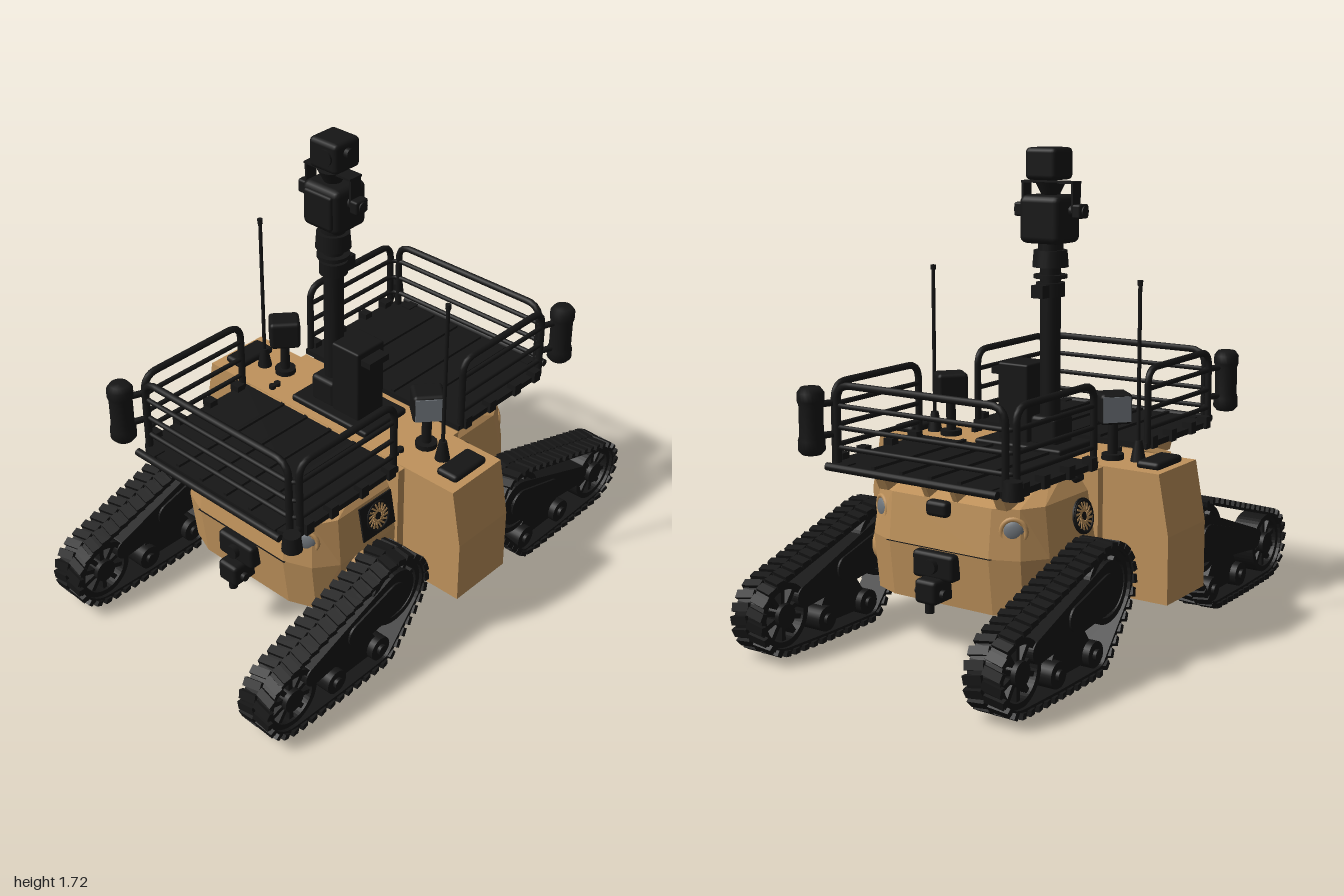
import * as THREE from 'three';
import { mergeGeometries } from 'three/addons/utils/BufferGeometryUtils.js';
import { ConvexGeometry } from 'three/addons/geometries/ConvexGeometry.js';
import { RoundedBoxGeometry } from 'three/addons/geometries/RoundedBoxGeometry.js';

const V = (x, y, z) => new THREE.Vector3(x, y, z);
const tan = new THREE.MeshStandardMaterial({ color: 0xc0935c });
const dark = new THREE.MeshStandardMaterial({ color: 0x161616 });
const grey = new THREE.MeshStandardMaterial({ color: 0x70767c });

function add(parent, name, geo, mat = dark) {
  const m = new THREE.Mesh(geo, mat);
  m.name = name;
  parent.add(m);
  return m;
}
function group(parent, name) {
  const g = new THREE.Group();
  g.name = name;
  parent.add(g);
  return g;
}
const outline = pts => new THREE.Shape(pts.map(p => new THREE.Vector2(...p)));
// Box given by its limits on each axis
const box = (x0, x1, y0, y1, z0, z1) =>
  new THREE.BoxGeometry(x1 - x0, y1 - y0, z1 - z0).translate((x0 + x1) / 2, (y0 + y1) / 2, (z0 + z1) / 2);
const softBox = (x0, x1, y0, y1, z0, z1, r = 0.015) =>
  new RoundedBoxGeometry(x1 - x0, y1 - y0, z1 - z0, 2, r).translate((x0 + x1) / 2, (y0 + y1) / 2, (z0 + z1) / 2);
// Cylinder between two points
function rod(a, b, r, r2 = r, seg = 14) {
  const d = b.clone().sub(a);
  return new THREE.CylinderGeometry(r2, r, d.length(), seg)
    .applyQuaternion(new THREE.Quaternion().setFromUnitVectors(V(0, 1, 0), d.clone().normalize()))
    .translate(...a.clone().add(b).multiplyScalar(0.5).toArray());
}
// Tube along straight runs with rounded corners
function bentTube(pts, bend, r) {
  const path = new THREE.CurvePath();
  let from = pts[0];
  for (let i = 1; i < pts.length - 1; i++) {
    const p = pts[i];
    const a = p.clone().add(pts[i - 1].clone().sub(p).setLength(bend));
    const b = p.clone().add(pts[i + 1].clone().sub(p).setLength(bend));
    path.add(new THREE.LineCurve3(from, a));
    path.add(new THREE.QuadraticBezierCurve3(a, p, b));
    from = b;
  }
  path.add(new THREE.LineCurve3(from, pts[pts.length - 1]));
  return new THREE.TubeGeometry(path, 60, r, 8);
}
// Closed outline wrapped round circles [z, y, r], listed counterclockwise
function wrap(circles, offset = 0, T = THREE.Shape) {
  const n = circles.length;
  const out = circles.map((c, i) => {
    const d = circles[(i + 1) % n];
    const dz = d[0] - c[0], dy = d[1] - c[1];
    return Math.atan2(dy, dz) - Math.acos((c[2] - d[2]) / Math.hypot(dz, dy));
  });
  const pts = [];
  circles.forEach(([z, y, r], i) => {
    const a0 = out[(i + n - 1) % n];
    let sweep = (out[i] - a0 + 4 * Math.PI) % (2 * Math.PI);
    if (sweep > 6.27) sweep = 0;
    const k = Math.max(1, Math.ceil(sweep / 0.2));
    for (let j = 0; j <= k; j++) {
      const a = a0 + sweep * j / k;
      pts.push(new THREE.Vector2(z + (r + offset) * Math.cos(a), y + (r + offset) * Math.sin(a)));
    }
  });
  pts.push(pts[0].clone());
  return new T(pts);
}
// Extrude a (z, y) outline across x
const across = (shape, w, x = 0) =>
  new THREE.ExtrudeGeometry(shape, { depth: w, bevelEnabled: false, curveSegments: 24 })
    .translate(0, 0, -w / 2).rotateY(-Math.PI / 2).translate(x, 0, 0);
const wheel = (z, y, r, w) => rod(V(-w / 2, y, z), V(w / 2, y, z), r, r, 28);

function buildTrack(parent, x, turn) {
  const g = group(parent, 'trackUnit');
  g.position.x = x;
  g.rotation.y = turn;
  const loop = [[0.345, 0.295, 0.143], [0.42, 0.08, 0.06], [0.645, 0.08, 0.06], [0.86, 0.153, 0.128]];
  const belt = wrap(loop);
  belt.holes.push(wrap(loop, -0.016, THREE.Path));
  add(g, 'trackBelt', across(belt, 0.125));
  // staggered tread lugs
  const n = 44, pts = wrap(loop, 0.003).getSpacedPoints(n), lugs = [];
  for (let i = 0; i < n; i++) {
    const a = pts[i], b = pts[i + 1];
    const ang = Math.atan2(b.y - a.y, b.x - a.x);
    for (const s of [-1, 1]) {
      const t = s > 0 ? 0.3 : 0.6;
      lugs.push(new THREE.BoxGeometry(0.072, 0.02, 0.03).rotateY(s * 0.2).rotateX(-ang)
        .translate(s * 0.036, a.y + (b.y - a.y) * t, a.x + (b.x - a.x) * t));
    }
  }
  add(g, 'treadLugs', mergeGeometries(lugs));
  // open spoked wheels
  for (const [z, y, r] of [[0.86, 0.153, 0.114], [0.345, 0.295, 0.128]]) {
    const rim = new THREE.Shape().absarc(z, y, r, 0, Math.PI * 2);
    rim.holes.push(new THREE.Path().absarc(z, y, r - 0.022, 0, Math.PI * 2));
    const parts = [];
    for (let i = 0; i < 10; i++)
      parts.push(new THREE.BoxGeometry(0.08, r - 0.01, 0.018).translate(0, r / 2, 0)
        .rotateX(i * Math.PI / 5).translate(0, y, z));
    add(g, 'wheelRim', across(rim, 0.1));
    add(g, 'wheelSpokes', mergeGeometries(parts));
    add(g, 'wheelHub', wheel(z, y, 0.042, 0.115));
  }
  for (const z of [0.42, 0.645]) {
    add(g, 'roadWheel', wheel(z, 0.08, 0.046, 0.1));
    add(g, 'roadWheelCap', wheel(z, 0.08, 0.02, 0.125));
  }
  add(g, 'trackArm', across(wrap([[0.345, 0.295, 0.09], [0.76, 0.195, 0.04]]), 0.11));
  add(g, 'armCover', across(wrap([[0.36, 0.29, 0.055], [0.55, 0.245, 0.045]]), 0.125));
  add(g, 'rollerBracket', across(wrap([[0.54, 0.19, 0.06], [0.42, 0.08, 0.025], [0.645, 0.08, 0.025]]), 0.05));
}

// Features of one end of the hull
function buildEnd(parent) {
  const g = group(parent, 'hullEnd');
  for (const s of [-1, 1]) {
    const cheek = outline([[0.2, 0.645], [0.3, 0.56], [0.55, 0.56], [0.595, 0.645]]);
    add(g, 'rackBracket', across(cheek, 0.04, s * 0.25), tan);
    add(g, 'rackStrut', across(cheek, 0.02, s * 0.06), tan);
    const lamp = group(g, 'headlight');
    lamp.position.set(s * 0.278, 0.485, 0.522);
    lamp.rotation.y = s * 0.5;
    add(lamp, 'lampBezel', new THREE.TorusGeometry(0.042, 0.009, 8, 24), tan);
    add(lamp, 'lampLens', new THREE.SphereGeometry(0.037, 20, 12).scale(1, 1, 0.4), grey);
    add(g, 'axleHousing', rod(V(s * 0.34, 0.3, 0.345), V(s * 0.42, 0.3, 0.345), 0.105, 0.07, 24), tan);
  }
  add(g, 'seam', box(-0.22, 0.22, 0.389, 0.391, 0.5, 0.576));
  add(g, 'noseCamera', softBox(-0.045, 0.045, 0.505, 0.56, 0.5, 0.585));
  add(g, 'hitchPlate', softBox(-0.088, 0.086, 0.29, 0.385, 0.53, 0.605));
  add(g, 'hitchSocket', rod(V(0, 0.34, 0.59), V(0, 0.34, 0.625), 0.026));
  add(g, 'hitchBlock', softBox(-0.045, 0.045, 0.215, 0.3, 0.53, 0.65));
  add(g, 'hitchPin', rod(V(0, 0.18, 0.62), V(0, 0.3, 0.62), 0.016));
  add(g, 'hitchCrossPin', rod(V(-0.06, 0.25, 0.61), V(0.06, 0.25, 0.61), 0.016));
  add(g, 'shoulderBolt', rod(V(0.28, 0.59, 0.2), V(0.335, 0.62, 0.2), 0.02));
}

function buildFan(parent, s, z, square) {
  const g = group(parent, 'coolingFan');
  g.position.set(s * 0.354, 0.482, z);
  g.rotation.set(-0.18, s * Math.PI / 2, 0, 'YXZ');
  if (square) add(g, 'fanPlate', new THREE.BoxGeometry(0.17, 0.135, 0.02));
  else add(g, 'fanPlate', new THREE.CylinderGeometry(0.063, 0.063, 0.02, 28).rotateX(Math.PI / 2));
  const blades = [];
  for (let i = 0; i < 16; i++)
    blades.push(new THREE.BoxGeometry(0.007, 0.036, 0.004).rotateZ(0.4).translate(0, 0.032, 0.01).rotateZ(i * Math.PI / 8));
  add(g, 'fanBlades', mergeGeometries(blades), tan);
  add(g, 'fanRing', new THREE.TorusGeometry(0.055, 0.004, 6, 28).translate(0, 0, 0.01));
}

function buildRack(parent) {
  const g = group(parent, 'cargoRack');
  // floor plate with rounded outer corners, drawn in plan
  const plan = new THREE.Shape().moveTo(-0.385, 0.165).lineTo(0.385, 0.165).lineTo(0.385, 0.62)
    .quadraticCurveTo(0.385, 0.7, 0.305, 0.7).lineTo(-0.305, 0.7).quadraticCurveTo(-0.385, 0.7, -0.385, 0.62);
  add(g, 'rackFloor', new THREE.ExtrudeGeometry(plan, { depth: 0.022, bevelEnabled: false })
    .rotateX(Math.PI / 2).translate(0, 0.667, 0));
  for (const x of [-0.18, -0.06, 0.06, 0.18]) add(g, 'floorRib', box(x - 0.008, x + 0.008, 0.66, 0.677, 0.17, 0.69));
  add(g, 'bumperBar', rod(V(-0.355, 0.662, 0.722), V(0.355, 0.662, 0.722), 0.014));
  for (const s of [-1, 1]) {
    const x = s * 0.378;
    add(g, 'sideHoop', bentTube([V(x, 0.65, 0.185), V(x, 0.938, 0.185), V(x, 0.938, 0.65), V(x, 0.65, 0.65)], 0.06, 0.013));
    for (const y of [0.72, 0.79, 0.865]) add(g, 'sideRail', rod(V(x, y, 0.185), V(x, y, 0.65), 0.009));
    for (const z of [0.21, 0.35, 0.5, 0.62]) add(g, 'railClamp', box(x - 0.02, x + 0.02, 0.645, 0.69, z - 0.018, z + 0.018));
    add(g, 'barBracket', box(s * 0.3 - 0.02, s * 0.3 + 0.02, 0.65, 0.672, 0.66, 0.722));
  }
  add(g, 'endHoop', bentTube([V(-0.35, 0.65, 0.67), V(-0.35, 0.938, 0.67), V(0.35, 0.938, 0.67), V(0.35, 0.65, 0.67)], 0.06, 0.013));
  for (const y of [0.72, 0.79, 0.865])
    add(g, 'endRail', bentTube([V(-0.378, y, 0.6), V(-0.378, y, 0.67), V(0.378, y, 0.67), V(0.378, y, 0.6)], 0.05, 0.009));
  // corner canister and its holder
  const profile = [[0, 0.7], [0.034, 0.7], [0.047, 0.715], [0.047, 0.75], [0.042, 0.765], [0.042, 0.87],
    [0.047, 0.885], [0.047, 0.915], [0.034, 0.933], [0, 0.933]].map(p => new THREE.Vector2(...p));
  add(g, 'canister', new THREE.LatheGeometry(profile, 22).translate(-0.41, 0, 0.735));
  for (const y of [0.76, 0.87]) add(g, 'canisterArm', rod(V(-0.41, y, 0.735), V(-0.375, y, 0.645), 0.012));
  add(g, 'cornerKnob', rod(V(0.42, 0.66, 0.73), V(0.42, 0.72, 0.73), 0.036, 0.03));
  add(g, 'knobArm', rod(V(0.42, 0.68, 0.73), V(0.37, 0.68, 0.64), 0.012));
}

function buildMast(parent) {
  const g = group(parent, 'sensorMast');
  const X = -0.08;
  const disc = (name, y0, y1, r, r2) => add(g, name, rod(V(X, y0, -0.002), V(X, y1, -0.002), r, r2, 20));
  add(g, 'mastFoot', softBox(X - 0.06, X + 0.05, 0.66, 0.77, -0.06, 0.06));
  disc('mastTube', 0.66, 1.32, 0.037);
  disc('collar', 1.2, 1.25, 0.052);
  add(g, 'collarClamp', box(X - 0.025, X + 0.025, 1.2, 1.245, -0.09, 0));
  disc('flange', 1.265, 1.278, 0.06);
  disc('panBase', 1.305, 1.365, 0.065, 0.06);
  disc('panNeck', 1.365, 1.41, 0.045);
  add(g, 'mainCamera', softBox(X - 0.085, X + 0.085, 1.39, 1.56, -0.085, 0.07, 0.025));
  add(g, 'mainCameraFace', softBox(X - 0.065, X + 0.065, 1.41, 1.54, 0.05, 0.08, 0.01));
  add(g, 'tiltAxle', rod(V(X - 0.145, 1.505, 0), V(X + 0.145, 1.505, 0), 0.02));
  for (const s of [-1, 1]) add(g, 'tiltKnob', softBox(X + s * 0.122 - 0.018, X + s * 0.122 + 0.018, 1.48, 1.53, -0.03, 0.03, 0.008));
  add(g, 'yoke', mergeGeometries([box(X - 0.108, X - 0.1, 1.5, 1.608, -0.025, 0.025),
    box(X + 0.1, X + 0.108, 1.5, 1.608, -0.025, 0.025), box(X - 0.108, X + 0.108, 1.6, 1.608, -0.03, 0.03)]));
  disc('upperNeck', 1.555, 1.605, 0.03, 0.055);
  add(g, 'upperCamera', softBox(X - 0.062, X + 0.068, 1.612, 1.725, -0.07, 0.055, 0.018));
  add(g, 'upperCameraLens', rod(V(X + 0.02, 1.67, 0.04), V(X + 0.02, 1.67, 0.062), 0.03));
  add(g, 'upperCameraKnob', rod(V(X + 0.06, 1.685, 0), V(X + 0.085, 1.685, 0), 0.018));
}

export function createModel() {
  const root = new THREE.Group();
  root.name = 'trackedRobot';

  // hull from stacked rings: y, front z, front half width, side half width, corner z
  const pts = [];
  for (const [y, zf, xf, xs, zs] of [[0.19, 0.548, 0.21, 0.366, 0.43], [0.39, 0.572, 0.21, 0.374, 0.45],
    [0.56, 0.552, 0.21, 0.343, 0.43], [0.643, 0.29, 0.2, 0.28, 0.2]])
    for (const sx of [-1, 1]) for (const sz of [-1, 1])
      for (const [x, z] of [[xf, zf], [(xf + xs) / 2 + 0.02, (zf + zs) / 2 + 0.02], [xs, zs]])
        pts.push(V(sx * x, y, sz * z));
  add(root, 'hull', new ConvexGeometry(pts), tan);
  add(root, 'hullCore', box(-0.385, 0.385, 0.192, 0.642, -0.165, 0.165), tan);
  const pod = outline([[-0.645, 0.19], [0.645, 0.19], [0.645, 0.43], [0.605, 0.645], [-0.605, 0.645], [-0.645, 0.43]]);
  add(root, 'sidePods', new THREE.ExtrudeGeometry(pod, { depth: 0.265, bevelEnabled: false }).translate(0, 0, -0.133), tan);
  add(root, 'keel', box(-0.04, 0.04, 0.182, 0.2, -0.45, 0.45), tan);

  // both ends share the same parts, turned half round
  for (const turn of [0, Math.PI]) {
    const end = group(root, turn ? 'rearEnd' : 'frontEnd');
    end.rotation.y = turn;
    buildEnd(end);
    buildRack(end);
    for (const s of [-1, 1]) {
      buildTrack(root, s * 0.488, turn);
      buildFan(root, s, turn ? -0.22 : 0.245, !turn);
    }
  }

  // deck equipment
  add(root, 'deckPlate', softBox(-0.2, 0.175, 0.645, 0.672, -0.12, 0.105, 0.01));
  add(root, 'equipmentBox', softBox(-0.03, 0.1, 0.66, 0.955, -0.075, 0.065, 0.008));
  add(root, 'equipmentLid', box(0.08, 0.145, 0.905, 0.93, -0.05, 0.05));
  for (const s of [-1, 1]) {
    add(root, 'antennaBase', rod(V(s * 0.447, 0.645, 0), V(s * 0.447, 0.72, 0), 0.028, 0.014));
    add(root, 'antenna', rod(V(s * 0.447, 0.7, 0), V(s * 0.447, 1.28, 0), 0.007));
    add(root, 'antennaTip', rod(V(s * 0.447, 1.262, 0), V(s * 0.447, 1.28, 0), 0.01));
    add(root, 'receiverPad', softBox(s * 0.533 - 0.046, s * 0.533 + 0.046, 0.64, 0.67, -0.088, 0.085, 0.014));
    const lamp = group(root, 'workLamp');
    lamp.position.set(s * 0.355, 0, -0.02);
    lamp.rotation.y = s > 0 ? 0.85 : 0.85 + Math.PI;
    add(lamp, 'lampBody', softBox(-0.058, 0.058, 0.775, 0.885, -0.05, 0.05));
    add(lamp, 'lampGlass', box(-0.05, 0.05, 0.785, 0.875, 0.045, 0.053), grey);
    add(lamp, 'lampPost', rod(V(0, 0.645, 0), V(0, 0.78, 0), 0.018));
    add(lamp, 'lampFoot', rod(V(0, 0.645, 0), V(0, 0.665, 0), 0.04));
    for (const z of [0.07, 0.095]) add(root, 'deckSocket', rod(V(s * 0.31, 0.64, z), V(s * 0.31, 0.66, z), 0.013));
  }
  buildMast(root);
  return root;
}
